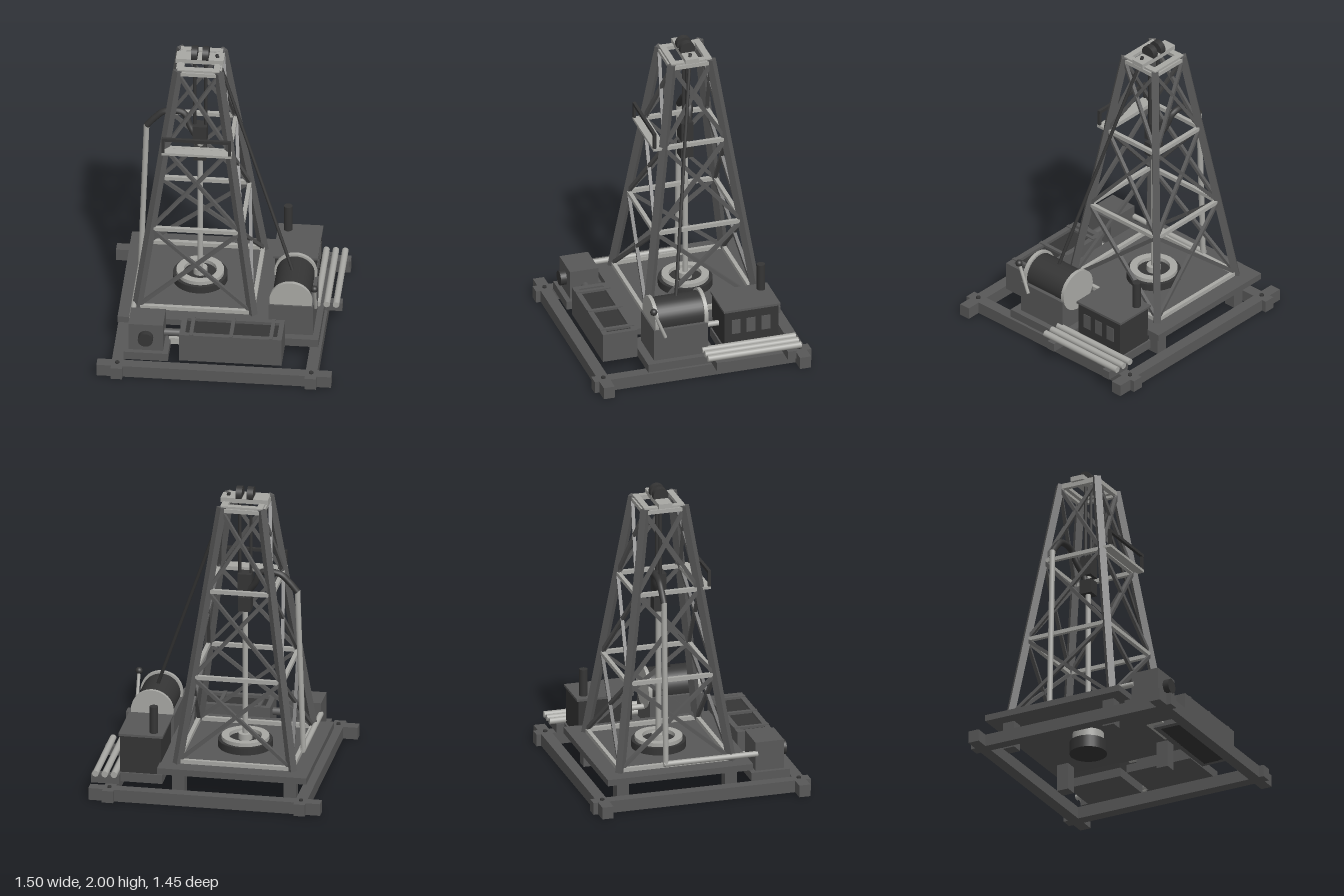
import * as THREE from 'three';

const mat = (name, color, side = THREE.FrontSide) => {
  const m = new THREE.MeshStandardMaterial({ color, side });
  m.name = name;
  return m;
};

export function createModel() {
  const steel = mat('dark grey steel', 0x585858);
  const black = mat('blackened steel', 0x353535);
  const light = mat('light grey metal', 0xa8a8a4);
  const root = new THREE.Group();
  root.name = 'drillingRig';
  const V = (x, y, z) => new THREE.Vector3(x, y, z);

  const add = (name, geo, m, parent = root) => {
    const mesh = new THREE.Mesh(geo, m);
    mesh.name = name;
    parent.add(mesh);
    return mesh;
  };
  const group = (name) => {
    const g = new THREE.Group();
    g.name = name;
    root.add(g);
    return g;
  };
  // Box given by its lower and upper limits on each axis
  const box = (name, x0, x1, y0, y1, z0, z1, m, parent) => {
    const b = add(name, new THREE.BoxGeometry(x1 - x0, y1 - y0, z1 - z0), m, parent);
    b.position.set((x0 + x1) / 2, (y0 + y1) / 2, (z0 + z1) / 2);
    return b;
  };
  // Round rod between two points
  const rod = (name, a, b, r, m, parent, sides = 16) => {
    const c = add(name, new THREE.CylinderGeometry(r, r, a.distanceTo(b), sides), m, parent);
    c.position.copy(a).lerp(b, 0.5);
    c.quaternion.setFromUnitVectors(V(0, 1, 0), b.clone().sub(a).normalize());
    return c;
  };
  // Square bar between two points
  const bar = (name, a, b, t, m, parent) => {
    const c = add(name, new THREE.BoxGeometry(t, t, a.distanceTo(b)), m, parent);
    c.position.copy(a).lerp(b, 0.5);
    c.lookAt(b);
    return c;
  };

  // Ground frame with bolted corners
  const base = group('baseFrame');
  for (const s of [-1, 1]) {
    box('crossSkid', -0.75, 0.75, 0, 0.08, s * 0.655 - 0.037, s * 0.655 + 0.037, steel, base);
    box('sideSkid', s * 0.62 - 0.037, s * 0.62 + 0.037, 0, 0.08, -0.723, 0.723, steel, base);
    for (const t of [-1, 1])
      rod('cornerBolt', V(s * 0.62, 0.075, t * 0.655), V(s * 0.62, 0.09, t * 0.655), 0.014, black, base);
  }

  // Drill floor, its feet and the well cellar
  const CX = -0.165, CZ = -0.14;
  box('drillFloor', -0.648, 0.318, 0.18, 0.222, -0.625, 0.342, steel);
  for (const s of [-1, 1]) for (const t of [-1, 1]) {
    const x = CX + s * 0.36, z = CZ + t * 0.36;
    box('floorPost', x - 0.04, x + 0.04, 0.0, 0.18, z - 0.04, z + 0.04, steel);
  }
  rod('cellarNeck', V(CX, 0.11, CZ), V(CX, 0.181, CZ), 0.1, light, root, 32);
  rod('cellarDrum', V(CX, 0.04, CZ), V(CX, 0.12, CZ), 0.12, black, root, 32);

  // Rotary table
  const rotary = group('rotaryTable');
  rod('tableBody', V(CX, 0.22, CZ), V(CX, 0.27, CZ), 0.175, black, rotary, 40);
  const ring = new THREE.Shape().absarc(0, 0, 0.152, 0, Math.PI * 2);
  ring.holes.push(new THREE.Path().absarc(0, 0, 0.105, 0, Math.PI * 2, true));
  const ringMesh = add('tableRing',
    new THREE.ExtrudeGeometry(ring, { depth: 0.025, bevelEnabled: false, curveSegments: 32 }), light, rotary);
  ringMesh.rotation.x = -Math.PI / 2;
  ringMesh.position.set(CX, 0.27, CZ);
  rod('kellyBushing', V(CX, 0.27, CZ), V(CX, 0.31, CZ), 0.045, light, rotary, 24);

  // Derrick tower: tapering legs, girts and crossed braces on four faces
  const tower = group('derrick');
  const corner = (i, y) => {
    const h = 0.37 - 0.24 * (y - 0.22) / 1.68;
    const [s, t] = [[-1, -1], [1, -1], [1, 1], [-1, 1]][i % 4];
    return V(CX + s * h, y, CZ + t * h);
  };
  const levels = [0.235, 0.785, 1.35, 1.88];
  for (let i = 0; i < 4; i++) {
    bar('leg', corner(i, 0.21), corner(i, 1.9), 0.046, steel, tower);
    levels.forEach((y, k) => {
      bar('girt', corner(i, y), corner(i + 1, y), 0.026, light, tower);
      if (k === 3) return;
      bar('brace', corner(i, y), corner(i + 1, levels[k + 1]), 0.022, steel, tower);
      bar('brace', corner(i + 1, y), corner(i, levels[k + 1]), 0.022, steel, tower);
    });
  }

  // Crown block
  const crown = group('crownBlock');
  for (const s of [-1, 1]) {
    box('crownRail', CX - 0.135, CX + 0.135, 1.885, 1.908, CZ + s * 0.115 - 0.02, CZ + s * 0.115 + 0.02, light, crown);
    box('crownRail', CX + s * 0.115 - 0.02, CX + s * 0.115 + 0.02, 1.885, 1.907, CZ - 0.1, CZ + 0.1, light, crown);
    const x = CX + s * 0.036;
    rod('sheave', V(x - 0.02, 1.95, CZ), V(x + 0.02, 1.95, CZ), 0.05, black, crown, 32);
    rod('hoistLine', V(x, 1.4, CZ), V(x, 1.92, CZ), 0.011, black, crown, 10);
  }
  box('crownBeam', CX - 0.153, CX + 0.153, 1.9, 1.932, CZ - 0.045, CZ + 0.045, light, crown);

  // Travelling block, swivel and kelly
  const string = group('drillString');
  box('travellingBlock', CX - 0.045, CX + 0.045, 1.28, 1.41, CZ - 0.04, CZ + 0.04, black, string);
  rod('hookNeck', V(CX, 1.24, CZ), V(CX, 1.29, CZ), 0.02, light, string);
  box('swivel', CX - 0.04, CX + 0.04, 1.155, 1.25, CZ - 0.042, CZ + 0.042, black, string);
  rod('kelly', V(CX, 0.25, CZ), V(CX, 1.16, CZ), 0.018, light, string);

  // Monkey board with handrail
  const board = group('monkeyBoard');
  box('boardPlank', -0.387, 0.06, 1.344, 1.362, 0.065, 0.142, light, board);
  for (const x of [-0.377, 0.048]) bar('railPost', V(x, 1.36, 0.132), V(x, 1.465, 0.132), 0.018, black, board);
  bar('handrail', V(-0.386, 1.46, 0.132), V(0.057, 1.46, 0.132), 0.02, black, board);

  // Standpipe, mud line and rotary hose
  const pipes = group('mudPiping');
  rod('standpipe', V(-0.553, 0.25, -0.21), V(-0.515, 1.34, -0.21), 0.018, light, pipes);
  rod('mudLine', V(-0.553, 0.25, -0.225), V(-0.553, 0.25, 0.4), 0.018, light, pipes);
  const hose = new THREE.CatmullRomCurve3([V(-0.515, 1.33, -0.21), V(-0.46, 1.395, -0.21), V(-0.4, 1.445, -0.21),
    V(-0.28, 1.445, -0.205), V(-0.235, 1.36, -0.185), V(-0.19, 1.285, -0.16), V(-0.18, 1.21, -0.145)]);
  add('rotaryHose', new THREE.TubeGeometry(hose, 40, 0.021, 12), black, pipes);

  // Drawworks: pedestal, drum, flanges, brake and fast line
  const winch = group('drawworks');
  box('winchSkid', 0.275, 0.638, 0.08, 0.135, -0.1, 0.36, steel, winch);
  box('winchPedestal', 0.315, 0.598, 0.135, 0.35, -0.05, 0.308, steel, winch);
  rod('drum', V(0.455, 0.38, -0.04), V(0.455, 0.38, 0.28), 0.122, black, winch, 40);
  for (const z of [-0.045, 0.285])
    rod('drumFlange', V(0.455, 0.38, z - 0.012), V(0.455, 0.38, z + 0.012), 0.137, light, winch, 40);
  rod('brakeLever', V(0.608, 0.3, 0.235), V(0.608, 0.49, 0.312), 0.011, light, winch);
  add('brakeKnob', new THREE.SphereGeometry(0.023, 20, 14), black, winch).position.set(0.608, 0.495, 0.314);
  rod('fastLine', V(-0.06, 1.95, -0.14), V(0.455, 0.48, 0.118), 0.011, black, winch, 10);
  rod('driveShaft', V(0.442, 0.25, -0.2), V(0.442, 0.25, -0.03), 0.018, light, winch);

  // Engine house
  const engine = group('engineHouse');
  box('engineSkid', 0.3, 0.6, 0.08, 0.14, -0.54, -0.16, steel, engine);
  box('engineBody', 0.31, 0.575, 0.14, 0.39, -0.528, -0.17, black, engine);
  box('engineRoof', 0.298, 0.584, 0.39, 0.405, -0.54, -0.162, steel, engine);
  for (const z of [-0.245, -0.345, -0.445])
    box('sideVent', 0.573, 0.579, 0.23, 0.33, z - 0.029, z + 0.029, steel, engine);
  rod('exhaustStack', V(0.365, 0.4, -0.478), V(0.365, 0.585, -0.478), 0.027, black, engine, 20);

  // Drill pipes on their rack
  const rack = group('pipeRack');
  for (const z of [-0.565, -0.09]) box('rackBeam', 0.57, 0.75, 0.08, 0.138, z - 0.028, z + 0.028, steel, rack);
  for (const x of [0.595, 0.655, 0.715]) rod('drillPipe', V(x, 0.158, -0.635), V(x, 0.158, -0.012), 0.021, light, rack);

  // Open mud tank with cross bars
  const tank = group('mudTank');
  const rect = (s, x0, x1, z0, z1) => s.moveTo(x0, z0).lineTo(x1, z0).lineTo(x1, z1).lineTo(x0, z1).closePath();
  const wall = rect(new THREE.Shape(), -0.23, 0.425, 0.365, 0.595);
  wall.holes.push(rect(new THREE.Path(), -0.195, 0.393, 0.4, 0.56));
  const wallGeo = new THREE.ExtrudeGeometry(wall, { depth: 0.195, bevelEnabled: false });
  wallGeo.rotateX(Math.PI / 2); // shape y becomes z, depth runs down
  add('tankWall', wallGeo, steel, tank).position.y = 0.278;
  box('mudSurface', -0.2, 0.398, 0.083, 0.258, 0.395, 0.565, black, tank);
  for (const x of [-0.155, 0.1, 0.355]) box('tankBar', x - 0.012, x + 0.012, 0.268, 0.284, 0.365, 0.595, steel, tank);
  box('spillTray', -0.31, -0.01, 0.1, 0.145, 0.33, 0.44, light, tank);

  // Mud pump
  const pump = group('mudPump');
  box('pumpSkid', -0.585, -0.3, 0.08, 0.135, 0.35, 0.608, steel, pump);
  box('pumpBody', -0.557, -0.335, 0.135, 0.328, 0.385, 0.575, steel, pump);
  rod('pumpCover', V(-0.445, 0.235, 0.56), V(-0.445, 0.235, 0.615), 0.048, black, pump, 28);
  rod('suctionPipe', V(-0.34, 0.215, 0.475), V(-0.225, 0.215, 0.475), 0.025, steel, pump);

  return root;
}
